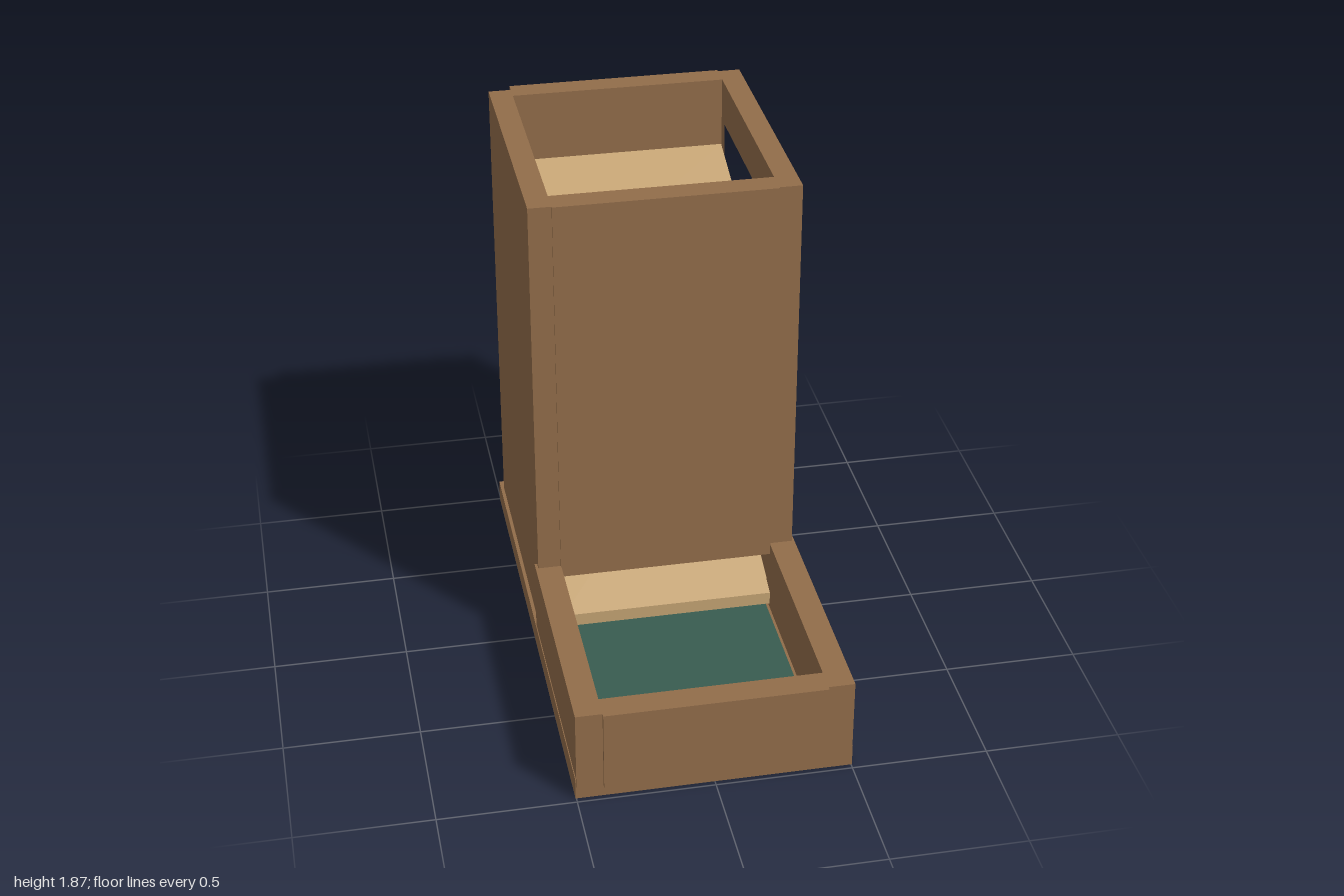
import * as THREE from 'three';

const wood = new THREE.MeshStandardMaterial({ color: 0x926d4a });
const paleWood = new THREE.MeshStandardMaterial({ color: 0xc4a373 });
const felt = new THREE.MeshStandardMaterial({ color: 0x385c50 });

export function createModel() {
  const model = new THREE.Group();
  model.name = 'rollingTower';

  const add = (name, geometry, material) => {
    const mesh = new THREE.Mesh(geometry, material);
    mesh.name = name;
    model.add(mesh);
  };

  // Board given by its limits on each axis
  const board = (name, [x0, x1], [y0, y1], [z0, z1], material = wood) => {
    const g = new THREE.BoxGeometry(x1 - x0, y1 - y0, z1 - z0);
    g.translate((x0 + x1) / 2, (y0 + y1) / 2, (z0 + z1) / 2);
    add(name, g, material);
  };

  // Side profile of [z, y] points, extruded along x from x0 to x1
  const sidePanel = (name, points, x0, x1, material, hole) => {
    const toShape = (pts) => pts.map(([z, y]) => new THREE.Vector2(-z, y));
    const shape = new THREE.Shape(toShape(points));
    if (hole) shape.holes.push(new THREE.Path(toShape(hole)));
    const g = new THREE.ExtrudeGeometry(shape, { depth: x1 - x0, bevelEnabled: false });
    g.rotateY(Math.PI / 2);
    g.translate(x0, 0, 0);
    add(name, g, material);
  };
  const rect = (z0, z1, y0, y1) => [[z0, y0], [z1, y0], [z1, y1], [z0, y1]];

  // Base and tray
  board('base', [-0.503, 0.503], [0, 0.085], [-1, 0.98]);
  board('trayFelt', [-0.39, 0.39], [0.08, 0.095], [0.08, 0.875], felt);
  board('trayFront', [-0.403, 0.403], [0.05, 0.365], [0.9, 1]);
  board('trayRightSide', [-0.5, -0.403], [0.05, 0.365], [0.035, 0.986]);
  board('trayLeftSide', [0.403, 0.5], [0.05, 0.365], [0.035, 0.986]);

  // Tower walls; the front stops short to leave an exit over the tray
  const top = 1.87;
  board('towerFront', [-0.405, 0.405], [0.32, top], [-0.02, 0.073]);
  board('towerBack', [-0.405, 0.405], [0.08, top], [-0.988, -0.895]);
  board('towerSolidSide', [-0.49, -0.405], [0.08, top], [-0.952, 0.066]);
  sidePanel('towerWindowSide', rect(-0.978, 0.066, 0.08, top), 0.405, 0.49, wood,
    rect(-0.84, -0.065, 0.25, 1.705));

  // Sloping ramps: [z, top height] at each end
  const thickness = 0.05;
  [
    ['upperRamp', [-0.895, 1.6], [-0.22, 1.37]],
    ['middleRamp', [-0.67, 0.937], [-0.02, 1.167]],
    ['exitRamp', [-0.895, 0.536], [0.092, 0.152]],
  ].forEach(([name, [z0, y0], [z1, y1]]) => {
    sidePanel(name, [[z0, y0 - thickness], [z1, y1 - thickness], [z1, y1], [z0, y0]],
      -0.404, 0.404, paleWood);
  });

  return model;
}
